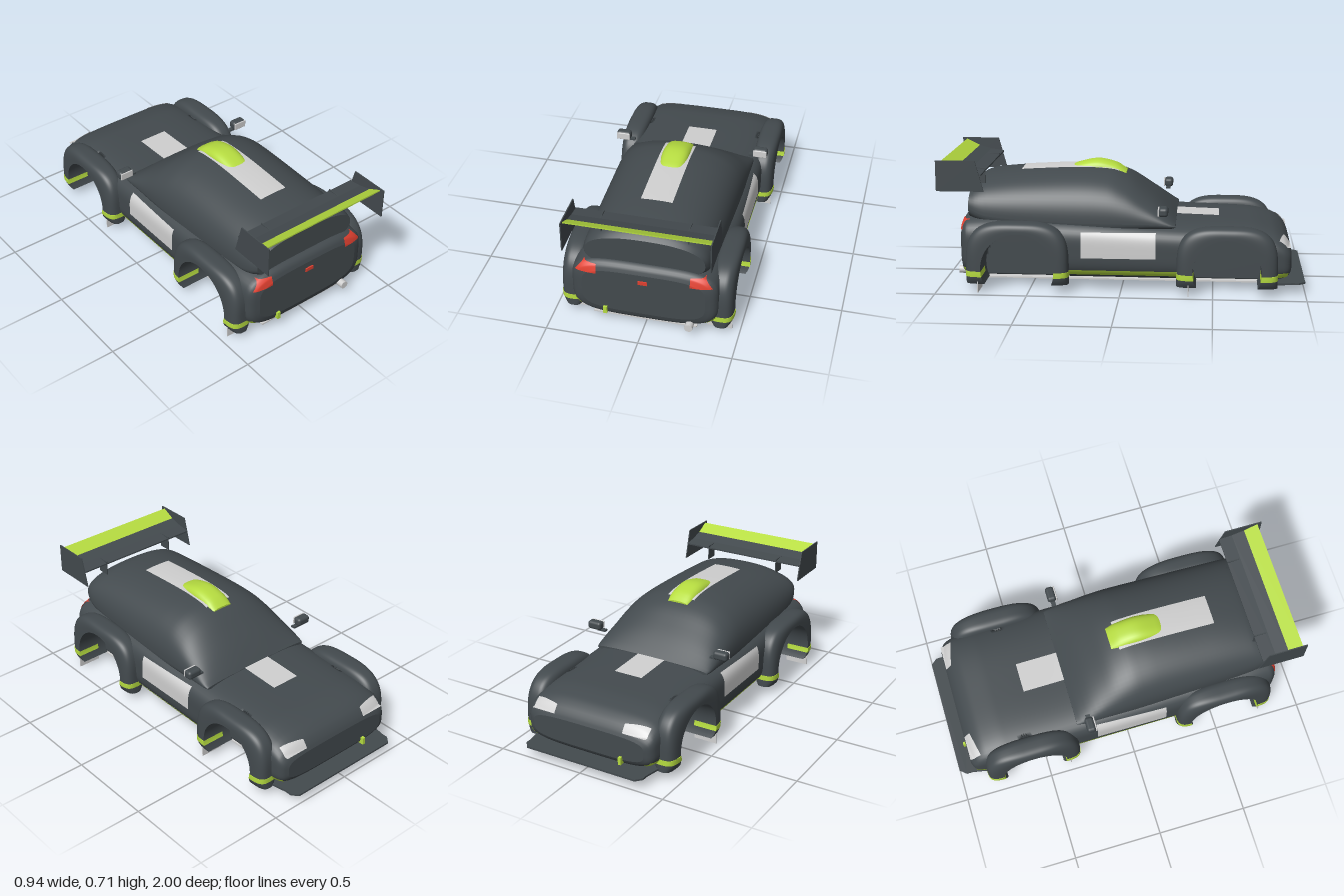
import * as THREE from 'three';
import { mergeGeometries } from 'three/addons/utils/BufferGeometryUtils.js';
import { RoundedBoxGeometry } from 'three/addons/geometries/RoundedBoxGeometry.js';

const paint = (name, color) => {
  const m = new THREE.MeshStandardMaterial({ color, side: THREE.DoubleSide });
  m.name = name;
  return m;
};

// Grid surface: fn(u, v) -> [x, y, z] for u, v in 0..1
function grid(nu, nv, fn) {
  const pos = [], idx = [];
  for (let i = 0; i <= nu; i++) for (let j = 0; j <= nv; j++) pos.push(...fn(i / nu, j / nv));
  for (let i = 0; i < nu; i++) for (let j = 0; j < nv; j++) {
    const a = i * (nv + 1) + j, c = a + nv + 1;
    idx.push(a, c, a + 1, a + 1, c, c + 1);
  }
  const g = new THREE.BufferGeometry();
  g.setAttribute('position', new THREE.Float32BufferAttribute(pos, 3));
  g.setIndex(idx);
  g.computeVertexNormals();
  return g;
}

// Smooth monotone interpolation of rows [z, halfWidth, bottom, middle, top], z descending
function sampleRows(rows, z) {
  let i = 0;
  while (i < rows.length - 2 && z < rows[i + 1][0]) i++;
  const slope = (k, c) => (rows[k + 1][c] - rows[k][c]) / (rows[k + 1][0] - rows[k][0]);
  const tangent = (k, c) => {
    if (k === 0) return slope(0, c);
    if (k === rows.length - 1) return slope(k - 1, c);
    const a = slope(k - 1, c), b = slope(k, c);
    return a * b <= 0 ? 0 : 2 * a * b / (a + b);
  };
  const h = rows[i + 1][0] - rows[i][0], t = (z - rows[i][0]) / h;
  return [1, 2, 3, 4].map(c => {
    const t2 = t * t, t3 = t2 * t;
    return (2 * t3 - 3 * t2 + 1) * rows[i][c] + (t3 - 2 * t2 + t) * h * tangent(i, c)
      + (3 * t2 - 2 * t3) * rows[i + 1][c] + (t3 - t2) * h * tangent(i + 1, c);
  });
}

// Loft of rounded sections with capped ends
function loft({ rows, n }, seg, step, rule = p => p) {
  const zs = [rows[0][0]];
  for (let i = 1; i < rows.length; i++) {
    const a = rows[i - 1][0], b = rows[i][0], k = Math.max(2, Math.ceil((a - b) / step));
    for (let j = 1; j <= k; j++) zs.push(a + (b - a) * j / k);
  }
  const ring = (z, v) => {
    const [w, b, m, t] = sampleRows(rows, z), a = v * Math.PI * 2;
    const c = Math.cos(a), s = Math.sin(a);
    const r = (Math.abs(c) ** n + Math.abs(s) ** n) ** (-1 / n);
    return rule([w * c * r, m + s * r * (s > 0 ? t - m : m - b), z]);
  };
  const cap = (z, flip) => grid(4, seg, (u, v) => {
    const p = ring(z, flip ? 1 - v : v), m = sampleRows(rows, z)[2];
    return [p[0] * u, m + (p[1] - m) * u, z];
  });
  const last = zs.length - 1;
  return mergeGeometries([grid(last, seg, (u, v) => ring(zs[Math.round(u * last)], v)),
    cap(zs[0], false), cap(zs[last], true)]);
}

function inside({ rows, n }, [x, y, z]) {
  if (z > rows[0][0] || z < rows[rows.length - 1][0]) return false;
  const [w, b, m, t] = sampleRows(rows, z);
  return Math.abs(x / w) ** n + Math.abs((y - m) / (y > m ? t - m : m - b)) ** n < 1;
}

// Thin painted patch laid on a loft along an axis; at(u, v) gives the two other coordinates
function patch(solid, axis, sign, at, nu = 14, nv = 14) {
  return grid(nu, nv, (u, v) => {
    const p = at(u, v);
    p.splice(axis, 0, 0);
    let lo = axis === 1 ? 0.25 : 0, hi = 1.1 * sign;
    for (let k = 0; k < 24; k++) {
      p[axis] = (lo + hi) / 2;
      if (inside(solid, p)) lo = p[axis]; else hi = p[axis];
    }
    p[axis] += 0.004 * sign;
    return p;
  });
}
const lerp = (a, b, t) => a + (b - a) * t;
const rect = (a0, a1, b0, b1) => (u, v) => [lerp(a0, a1, u), lerp(b0, b1, v)];

const body = { n: 4, rows: [
  [.882, .33, .10, .23, .355], [.87, .37, .065, .23, .385], [.84, .392, .05, .23, .403],
  [.7, .4, .045, .23, .412], [.3, .402, .045, .225, .40], [-.3, .402, .045, .21, .372],
  [-.7, .4, .045, .2, .357], [-.82, .396, .05, .19, .332], [-.88, .388, .06, .18, .298],
  [-.91, .37, .08, .17, .262], [-.922, .34, .1, .17, .235]] };
const cabin = { n: 2.4, rows: [
  [.84, .32, .35, .44, .55], [.8, .335, .33, .42, .578], [.74, .342, .31, .40, .597],
  [.5, .35, .25, .38, .62], [.2, .357, .23, .37, .632], [.08, .36, .25, .37, .625],
  [-.02, .362, .28, .37, .592], [-.14, .362, .3, .37, .512], [-.2, .362, .31, .368, .465],
  [-.26, .36, .32, .362, .41], [-.295, .352, .34, .358, .375]] };
const scoop = { n: 2.8, rows: [
  [.305, .055, .6, .612, .625], [.27, .066, .58, .61, .642], [.15, .076, .57, .61, .666],
  [.05, .076, .55, .59, .645], [-.01, .068, .565, .58, .606]] };
const arches = [
  { name: 'rear', z: .555, r: .2, mid: .56, half: .28, top: .387 },
  { name: 'front', z: -.575, r: .185, mid: -.575, half: .272, top: .376 }];
const HUB = 0.13;

// Wheel wells: push the body sides inwards behind each arch
function carveWells(p) {
  for (const a of arches) {
    const d = Math.hypot(p[2] - a.z, Math.max(0, p[1] - HUB));
    if (d < a.r + 0.015 && Math.abs(p[0]) > 0.28) p[0] = 0.28 * Math.sign(p[0]);
  }
  return p;
}

// Fender: rounded section swept round the arch from angle a0 to a1
function fender(a, side, a0, a1, grow, steps) {
  const point = (ang, x, k) => {
    const c = Math.cos(ang), s = Math.sin(ang), iz = a.z + a.r * c, iy = HUB + a.r * s;
    const oz = a.mid + a.half * Math.sign(c) * (s < 0 ? 1 : Math.abs(c) ** .6);
    const oy = s < 0 ? iy : HUB + (a.top - HUB) * s ** .6;
    const tuck = 1 - .25 * (Math.max(0, .1 - iy) / .05) ** 2;
    return [side * (.4 + (.065 + grow) * x * tuck), lerp(iy, oy, k), lerp(iz, oz, k)];
  };
  const arc = v => {
    const t = v * Math.PI, c = Math.cos(t), k = Math.sin(t) ** .65;
    return [Math.sign(c) * Math.abs(c) ** .65, k * (1 + grow * 10) - grow * 5];
  };
  const end = ang => grid(2, 20, (u, v) => {
    const [x, k] = arc(v);
    return point(ang, x, k * u);
  });
  return mergeGeometries([
    grid(steps, 28, (u, v) => point(lerp(a0, a1, u), ...arc(v))),
    grid(steps, 1, (u, v) => point(lerp(a0, a1, u), 1 - 2 * v, -grow * 5)),
    end(a0), end(a1)]);
}

function plate(points, depth) {
  const s = new THREE.Shape(points.map(p => new THREE.Vector2(...p)));
  return new THREE.ExtrudeGeometry(s, { depth, bevelEnabled: false });
}

export function createModel() {
  const dark = paint('charcoal paint', 0x434a4e), lime = paint('lime paint', 0xb6dc40);
  const silver = paint('silver', 0xd0d0d0), red = paint('red lens', 0xe04030);
  const car = new THREE.Group();
  car.name = 'raceCar';
  const add = (name, geo, mat, x = 0, y = 0, z = 0) => {
    const m = new THREE.Mesh(geo, mat);
    m.name = name;
    m.position.set(x, y, z);
    car.add(m);
    return m;
  };
  const box = (name, mat, w, h, d, x, y, z) => add(name, new THREE.BoxGeometry(w, h, d), mat, x, y, z);

  // Shell
  add('body', loft(body, 96, .013, carveWells), dark);
  add('cabin', loft(cabin, 80, .03), dark);
  add('roofScoop', loft(scoop, 40, .02), lime);
  box('floorPlate', silver, .56, .008, 1.68, 0, .041, .01);
  const splitter = plate([[-.39, .8], [.39, .8], [.365, .93], [.365, .965], [.335, 1], [-.335, 1], [-.365, .965], [-.365, .93]], .01);
  add('frontSplitter', splitter, dark, 0, .052).rotation.x = -Math.PI / 2;

  // Centre stripes
  add('roofStripe', patch(cabin, 1, 1, rect(-.085, .085, .03, .575), 10, 30), silver);
  add('hoodStripe', patch(body, 1, 1, rect(-.085, .085, -.53, -.29)), silver);

  for (const s of [1, -1]) {
    // Fenders, wheel well liners and mud flaps
    for (const a of arches) {
      const low = Math.asin(-.083 / a.r);
      add(a.name + 'Fender', fender(a, s, low, Math.PI - low, 0, 64), dark);
      add(a.name + 'WheelWell', grid(48, 1, (u, v) => {
        const t = lerp(low, Math.PI - low, u);
        return [s * lerp(.275, .42, v), HUB + a.r * Math.sin(t), a.z + a.r * Math.cos(t)];
      }), dark);
      const b0 = Math.asin(-.04 / a.r), b1 = Math.asin(-.01 / a.r);
      add(a.name + 'FenderBand', fender(a, s, b0, b1, .003, 3), lime);
      add(a.name + 'FenderBand', fender(a, s, Math.PI - b1, Math.PI - b0, .003, 3), lime);
      box(a.name + 'MudFlap', silver, .135, .085, .005, s * .388, .0425, a.z + (a.z > 0 ? .218 : .207));
    }
    // Side markings
    for (const [z0, z1] of [[-.33, .31], [-.905, -.8], [.8, .865]])
      add('sillBand', patch(body, 0, s, rect(.09, .12, z0, z1), 3, 20), lime);
    add('doorPanel', patch(body, 0, s, rect(.19, .33, -.19, .215)), silver);

    // Lamps
    add('headlight', patch(body, 1, 1, (u, v) => [s * lerp(.21, .35, u), lerp(-.918, lerp(-.885, -.855, u), v)]), silver);
    add('tailLight', patch(body, 2, 1, (u, v) => [s * lerp(.25, lerp(.367, .325, v), u), lerp(.328, .38, v)]), red);

    // Mirrors
    add('mirrorHousing', new RoundedBoxGeometry(.084, .048, .05, 3, .016), dark, s * .404, .456, -.232);
    add('mirrorGlass', new RoundedBoxGeometry(.078, .042, .008, 3, .0039), silver, s * .404, .456, -.206);
    box('mirrorStem', dark, .05, .01, .025, s * .362, .433, -.23);

    // Wing end plates and struts
    const end = add('wingEndPlate', plate([[-1, .545], [-.74, .545], [-.785, .713], [-1, .713]], .006), dark, s * .383 - .003);
    end.rotation.y = Math.PI / 2;
    box('wingStrut', dark, .006, .085, .07, s * .23, .605, .79);
  }

  // Wing blades
  const blade = pts => plate(pts.map(([z, y]) => [-z, y]), .764);
  add('wingMain', blade([[.755, .63], [.83, .636], [.9, .66], [.9, .668], [.83, .648], [.755, .638]]), dark, -.382).rotation.y = Math.PI / 2;
  add('wingFlap', blade([[.9, .66], [.975, .698], [.975, .706], [.9, .668]]), lime, -.382).rotation.y = Math.PI / 2;

  // Small rear and front fittings
  box('rearFogLamp', red, .05, .02, .015, 0, .31, .882);
  box('rearTowHook', lime, .02, .042, .03, -.205, .096, .88);
  box('frontTowHook', lime, .016, .042, .04, -.205, .1, -.92);
  add('exhaustPipe', new THREE.CylinderGeometry(.022, .022, .1, 24), silver, .248, .074, .86).rotation.x = Math.PI / 2;
  return car;
}
